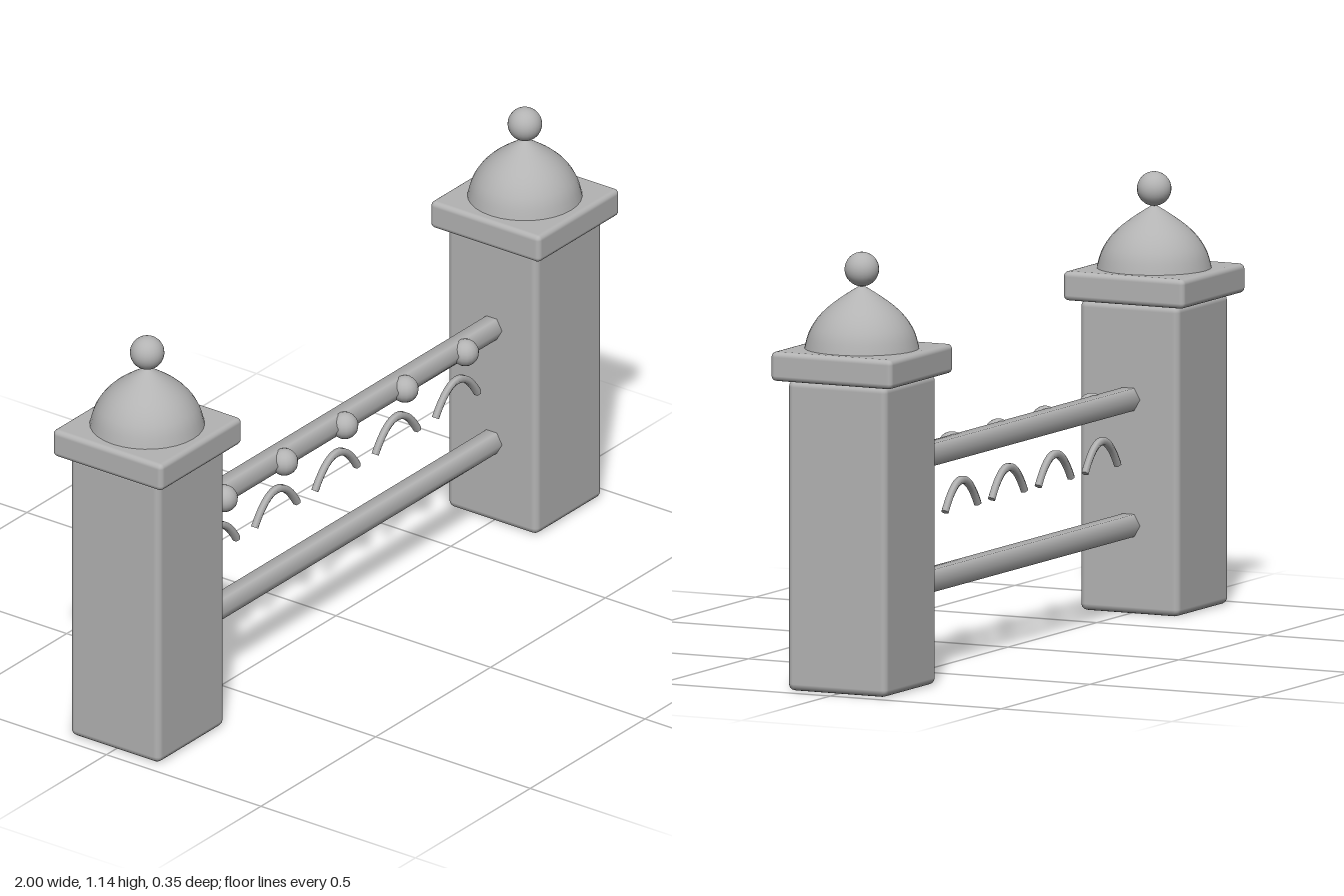
import * as THREE from 'three';
import { RoundedBoxGeometry } from 'three/addons/geometries/RoundedBoxGeometry.js';

export function createModel() {
  const group = new THREE.Group();
  group.name = 'fence';
  const stone = new THREE.MeshStandardMaterial({ color: 0xb3b3b3 });
  stone.name = 'grey stone';

  const add = (parent, name, geometry, x, y, z) => {
    const mesh = new THREE.Mesh(geometry, stone);
    mesh.name = name;
    mesh.position.set(x, y, z);
    parent.add(mesh);
    return mesh;
  };

  // Shared pillar geometries
  const shaftGeo = new RoundedBoxGeometry(0.29, 0.815, 0.29, 2, 0.018);
  const capGeo = new RoundedBoxGeometry(0.355, 0.077, 0.355, 2, 0.014);
  const domeCurve = new THREE.SplineCurve([
    [0.15, 0], [0.138, 0.042], [0.115, 0.08], [0.083, 0.112], [0.04, 0.143], [0, 0.168],
  ].map(([r, y]) => new THREE.Vector2(r, y)));
  const domeProfile = domeCurve.getPoints(15);
  domeProfile[15].x = 0;
  const domeGeo = new THREE.LatheGeometry(domeProfile, 32);
  const finialGeo = new THREE.SphereGeometry(0.045, 24, 16);

  // Pillars with cap, pointed dome and ball
  for (const side of [-1, 1]) {
    const pillar = new THREE.Group();
    pillar.name = side > 0 ? 'leftPillar' : 'rightPillar';
    pillar.position.x = side * 0.8225;
    add(pillar, 'shaft', shaftGeo, 0, 0.4075, 0);
    add(pillar, 'cap', capGeo, 0, 0.853, 0);
    add(pillar, 'dome', domeGeo, 0, 0.89, 0);
    add(pillar, 'finialBall', finialGeo, 0, 1.098, 0);
    group.add(pillar);
  }

  // Six-sided rails, with an edge pointing up
  const railGeo = new THREE.CylinderGeometry(0.034, 0.034, 1.46, 6);
  railGeo.rotateZ(Math.PI / 2);
  add(group, 'lowerRail', railGeo, 0, 0.233, 0);
  add(group, 'upperRail', railGeo, 0, 0.564, 0);

  // Row of small arches below beads on the upper rail
  const arch = new THREE.QuadraticBezierCurve3(
    new THREE.Vector3(-0.092, 0.4, 0),
    new THREE.Vector3(0, 0.546, 0),
    new THREE.Vector3(0.092, 0.4, 0),
  );
  const archGeo = new THREE.TubeGeometry(arch, 16, 0.011, 6);
  const endGeo = new THREE.CircleGeometry(0.011, 6);
  const beadGeo = new THREE.SphereGeometry(0.036, 16, 12);
  for (let i = -2; i <= 2; i++) {
    const x = i * 0.2625;
    add(group, 'arch', archGeo, x, 0, 0);
    for (const t of [0, 1]) {
      const p = arch.getPoint(t);
      const out = arch.getTangent(t).multiplyScalar(t ? 1 : -1);
      const end = add(group, 'archEnd', endGeo, x + p.x, p.y, p.z);
      end.quaternion.setFromUnitVectors(new THREE.Vector3(0, 0, 1), out);
    }
    add(group, 'bead', beadGeo, x, 0.562, 0.028);
  }
  return group;
}
